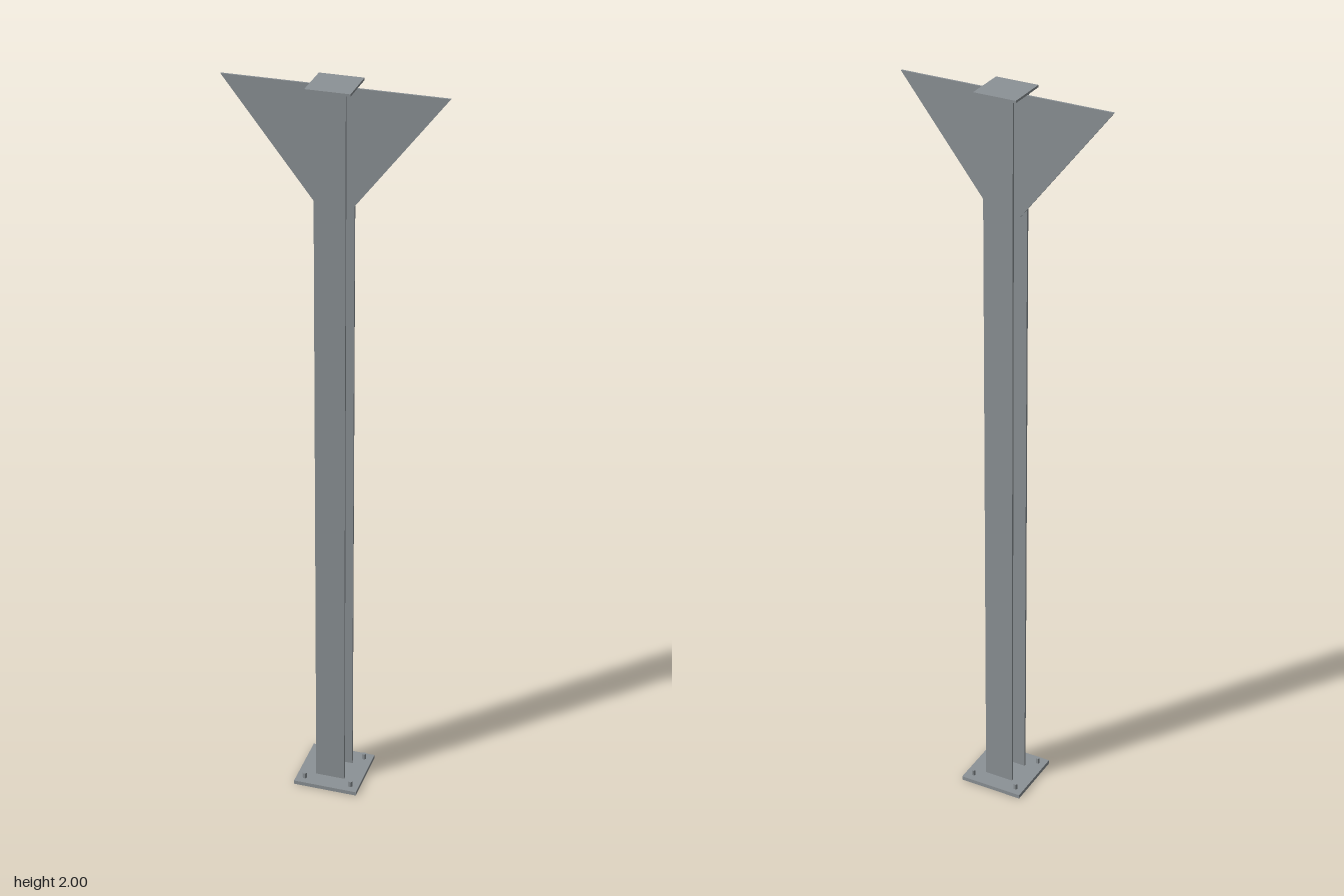
import * as THREE from 'three';

export function createModel() {
  const model = new THREE.Group();
  model.name = 'steelPost';
  const steel = new THREE.MeshStandardMaterial({ color: 0x8c9296 });
  steel.name = 'galvanised steel';

  const add = (name, geometry, x = 0, y = 0, z = 0) => {
    const mesh = new THREE.Mesh(geometry, steel);
    mesh.name = name;
    mesh.position.set(x, y, z);
    model.add(mesh);
    return mesh;
  };

  const baseTop = 0.011, capBottom = 1.994;
  const half = 0.04, flange = 0.006, web = 0.005;
  const height = capBottom - baseTop, middle = (capBottom + baseTop) / 2;

  // Base and cap plates
  add('basePlate', new THREE.BoxGeometry(0.176, baseTop, 0.176), 0, baseTop / 2, 0);
  add('capPlate', new THREE.BoxGeometry(0.113, 2 - capBottom, 0.113), 0, (2 + capBottom) / 2, 0);

  // I-beam: web between front and back flanges
  add('web', new THREE.BoxGeometry(web, height, 2 * (half - flange)), 0, middle, 0);
  for (const side of [1, -1]) {
    add(side > 0 ? 'frontFlange' : 'backFlange',
      new THREE.BoxGeometry(2 * half, height, flange), 0, middle, side * (half - flange / 2));
  }

  // Triangular side plates, welded to the web
  const thickness = 0.005;
  for (const side of [1, -1]) {
    const outline = [[web / 2, 1.68], [half, 1.68], [0.283, capBottom], [web / 2, capBottom]];
    const shape = new THREE.Shape(outline.map(([x, y]) => new THREE.Vector2(side * x, y)));
    add(side > 0 ? 'leftGusset' : 'rightGusset',
      new THREE.ExtrudeGeometry(shape, { depth: thickness, bevelEnabled: false }), 0, 0, -thickness / 2);
  }

  // Hexagonal anchor bolts at the base corners
  const boltHeight = 0.016;
  const bolt = new THREE.CylinderGeometry(0.006, 0.006, boltHeight, 6).toNonIndexed();
  bolt.rotateY(Math.PI / 6);
  bolt.computeVertexNormals();
  for (const x of [-0.065, 0.065]) {
    for (const z of [-0.065, 0.065]) add('anchorBolt', bolt, x, baseTop + boltHeight / 2, z);
  }
  return model;
}
